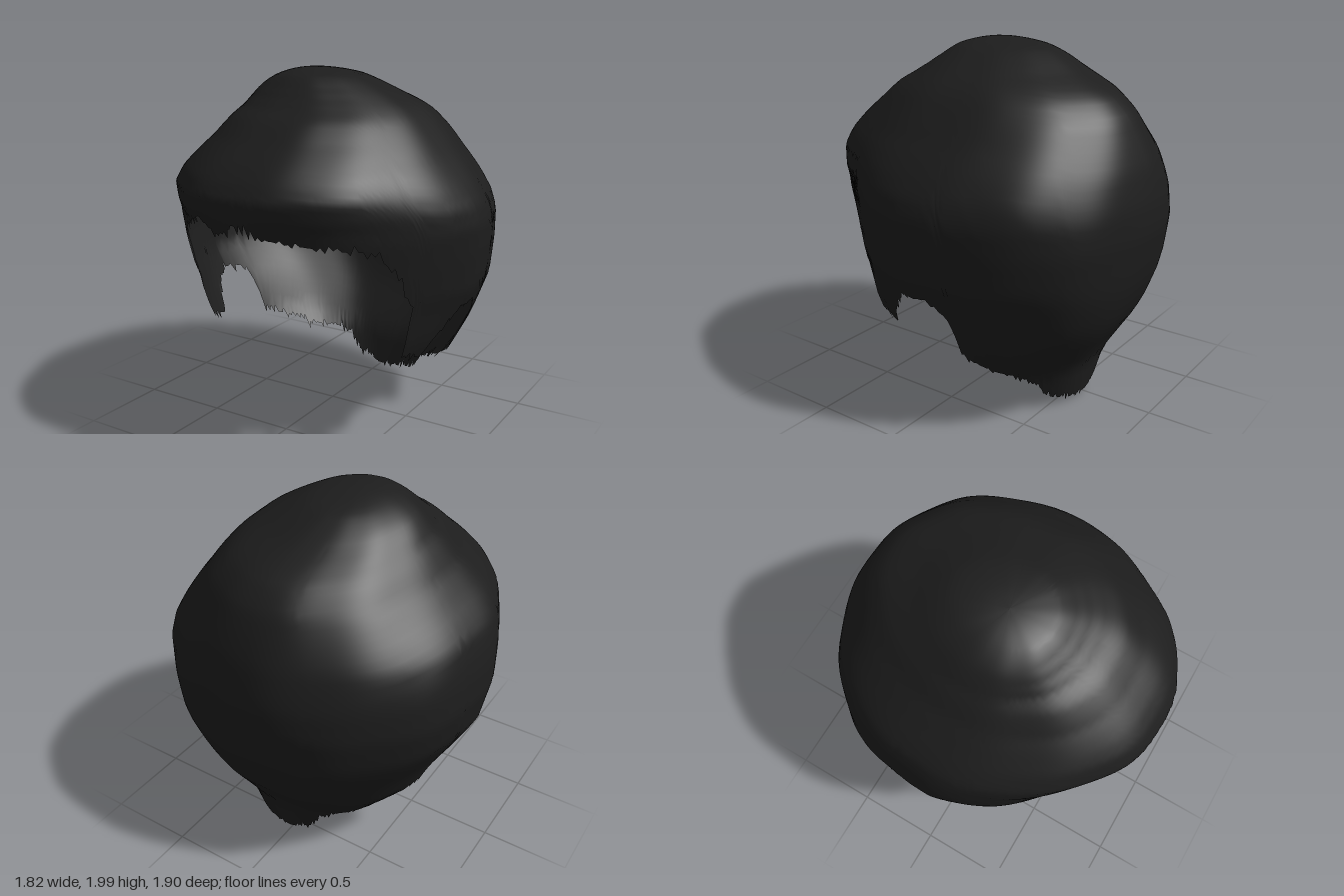
import * as THREE from 'three';

// Horizontal sections: [y, right half width, left half width, front depth, back depth]
const SECTIONS = [
  [2.00, 0.00, 0.00, 0.00, 0.00],
  [1.96, 0.22, 0.24, 0.24, 0.30],
  [1.90, 0.35, 0.34, 0.34, 0.41],
  [1.85, 0.42, 0.41, 0.42, 0.49],
  [1.80, 0.48, 0.47, 0.51, 0.59],
  [1.75, 0.53, 0.53, 0.60, 0.69],
  [1.65, 0.61, 0.62, 0.72, 0.79],
  [1.55, 0.71, 0.70, 0.84, 0.84],
  [1.48, 0.78, 0.76, 0.905, 0.87],
  [1.40, 0.845, 0.82, 0.955, 0.90],
  [1.30, 0.88, 0.88, 0.94, 0.925],
  [1.20, 0.90, 0.905, 0.91, 0.945],
  [1.05, 0.91, 0.895, 0.87, 0.95],
  [0.85, 0.875, 0.87, 0.85, 0.92],
  [0.75, 0.82, 0.83, 0.85, 0.90],
  [0.60, 0.73, 0.77, 0.85, 0.85],
  [0.50, 0.68, 0.72, 0.82, 0.80],
  [0.38, 0.63, 0.66, 0.78, 0.72],
  [0.25, 0.52, 0.55, 0.75, 0.64],
  [0.00, 0.40, 0.45, 0.70, 0.58],
];

// Fullness of each corner (2 = elliptical): [y, front right, front left, back right, back left]
const FULLNESS = [
  [2.00, 2.00, 2.00, 2.00, 2.00],
  [1.75, 2.05, 2.05, 1.85, 2.10],
  [1.50, 2.05, 2.00, 1.95, 2.15],
  [1.25, 1.74, 1.72, 2.12, 2.25],
  [1.00, 1.65, 1.70, 2.18, 2.35],
  [0.80, 1.56, 1.66, 2.18, 2.40],
  [0.55, 1.80, 1.85, 2.15, 2.40],
  [0.00, 1.80, 1.80, 2.10, 2.20],
];

// Lower hairline: [degrees from the front, y] for fringe, sideburn, ear notch and nape
const HAIRLINE_LEFT = [
  [0, 1.28], [15, 1.21], [30, 1.18], [45, 1.15], [53, 1.00], [59, 0.80], [62, 0.55],
  [73, 0.49], [76, 0.60], [81, 0.70], [86, 0.76], [96, 0.76], [101, 0.66], [103, 0.42],
  [116, 0.29], [128, 0.25], [140, 0.18], [147, 0.08], [165, 0.04], [180, 0.03],
];
const HAIRLINE_RIGHT = [
  [0, 1.28], [10, 1.21], [19, 1.29], [30, 1.22], [43, 1.12], [51, 0.99], [56, 0.80], [62, 0.55],
  [73, 0.50], [75, 0.60], [80, 0.68], [90, 0.72], [96, 0.70], [101, 0.62], [103, 0.40],
  [116, 0.35], [128, 0.28], [145, 0.25], [157, 0.21], [161, 0.11], [180, 0.03],
];

// Linear lookup in a table sorted by its first column; squares are blended for round sections
function lookup(table, key, column, power = 1) {
  const dir = table[1][0] > table[0][0] ? 1 : -1;
  let i = 0;
  while (i < table.length - 2 && (table[i + 1][0] - key) * dir < 0) i++;
  const p = table[i], q = table[i + 1];
  const t = THREE.MathUtils.clamp((key - p[0]) / (q[0] - p[0]), 0, 1);
  return Math.pow(THREE.MathUtils.lerp(p[column] ** power, q[column] ** power, t), 1 / power);
}

function seeded(seed) {
  return () => {
    seed = (seed * 16807) % 2147483647;
    return seed / 2147483647;
  };
}

const signedPow = (v, e) => Math.sign(v) * Math.pow(Math.abs(v), e);

// Point on the hair surface at angle a (0 = front, towards +x) and height y
function surfacePoint(a, y) {
  const s = Math.sin(a), c = Math.cos(a);
  const side = s < 0 ? 1 : 2;
  const e = 2 / lookup(FULLNESS, y, c > 0 ? side : side + 2);
  const width = lookup(SECTIONS, y, side, 2);
  const depth = lookup(SECTIONS, y, c > 0 ? 3 : 4, 2);
  // gentle locks in the surface
  const wave = 1 + 0.005 * Math.sin(7 * a + 3 * y) + 0.004 * Math.sin(12 * a - 5 * y);
  // the crown sits slightly forward and to the right
  const crown = Math.max(0, (y - 1.8) / 0.2);
  return [
    width * signedPow(s, e) * wave - 0.08 * crown,
    y,
    depth * signedPow(c, e) * wave + 0.06 * crown,
  ];
}

function hairShell() {
  const COLS = 300, ROWS = 48;
  const random = seeded(41);
  const positions = [], indices = [];
  const edges = [], tips = [];
  for (let j = 0; j < COLS; j++) {
    const degrees = (j / COLS) * 360;
    const left = degrees <= 180;
    edges.push(lookup(left ? HAIRLINE_LEFT : HAIRLINE_RIGHT, left ? degrees : 360 - degrees, 1));
    // pointed strand tips, irregular in length
    tips.push((j % 2 ? 0.04 : -0.04) * random() ** 3);
  }
  for (let i = 0; i <= ROWS; i++) {
    const u = i / ROWS;
    for (let j = 0; j < COLS; j++) {
      const y = 2 - (2 - edges[j]) * Math.pow(u, 1.7) + tips[j] * Math.pow(u, 16);
      positions.push(...surfacePoint((j / COLS) * Math.PI * 2, Math.max(0, y)));
    }
  }
  for (let i = 0; i < ROWS; i++) {
    for (let j = 0; j < COLS; j++) {
      const k = (j + 1) % COLS;
      const a = i * COLS + j, b = a + COLS, c = (i + 1) * COLS + k, d = i * COLS + k;
      indices.push(a, b, c);
      if (i > 0) indices.push(a, c, d);
    }
  }
  const geometry = new THREE.BufferGeometry();
  geometry.setAttribute('position', new THREE.Float32BufferAttribute(positions, 3));
  geometry.setIndex(indices);
  geometry.computeVertexNormals();
  return geometry;
}

export function createModel() {
  const group = new THREE.Group();
  group.name = 'hairstyle';
  const black = new THREE.MeshStandardMaterial({ color: 0x1d1d1d, side: THREE.DoubleSide });
  black.name = 'black hair';
  const hair = new THREE.Mesh(hairShell(), black);
  hair.name = 'hair';
  group.add(hair);
  return group;
}
